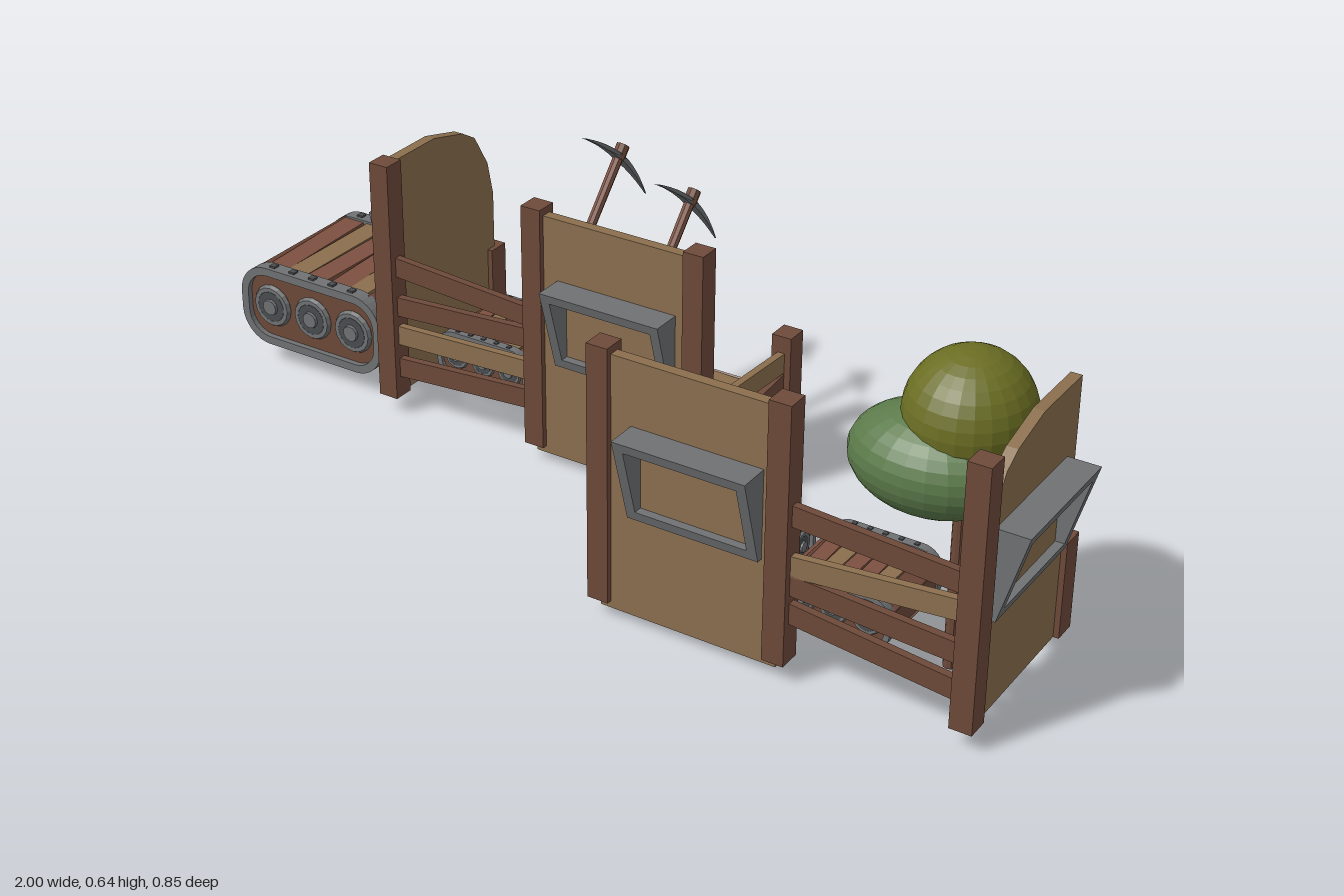
import * as THREE from 'three';

const mat = (color) => new THREE.MeshStandardMaterial({ color, flatShading: true });
const WOOD = mat(0x6e4a3a), PLANK = mat(0x7c5040), TAN = mat(0x8b6f4e), STEEL = mat(0x6f7173);
const IRON = mat(0x4a4d50), OLIVE = mat(0x6b6e23), GREEN = mat(0x5b7a4a);

function add(parent, name, geo, material, x = 0, y = 0, z = 0) {
  const m = new THREE.Mesh(geo, material);
  m.name = name;
  m.position.set(x, y, z);
  parent.add(m);
  return m;
}
const box = (p, name, material, w, h, d, x, y, z) =>
  add(p, name, new THREE.BoxGeometry(w, h, d), material, x, y, z);

// Beam whose ends sit at two points
function beam(p, name, material, a, b, h, t) {
  const A = new THREE.Vector3(...a), B = new THREE.Vector3(...b);
  const m = box(p, name, material, t, h, A.distanceTo(B), 0, 0, 0);
  m.position.copy(A).add(B).multiplyScalar(0.5);
  m.lookAt(B);
  return m;
}

function extrude(points, depth) {
  const s = new THREE.Shape(points.map(([x, y]) => new THREE.Vector2(x, y)));
  return new THREE.ExtrudeGeometry(s, { depth, bevelEnabled: false }).translate(0, 0, -depth / 2);
}

function roundRect(w, h, r, Type = THREE.Shape) {
  const s = new Type(), x = w / 2 - r, y = h / 2 - r;
  s.absarc(x, y, r, 0, Math.PI / 2);
  s.absarc(-x, y, r, Math.PI / 2, Math.PI);
  s.absarc(-x, -y, r, Math.PI, Math.PI * 1.5);
  s.absarc(x, -y, r, Math.PI * 1.5, Math.PI * 2);
  s.closePath();
  return s;
}

// Slanted window frame, facing +z, open in the middle
function hood(w) {
  const g = new THREE.Group(), y0 = 0.235, y1 = 0.415, t = 0.02;
  g.name = 'windowHood';
  const out = (y) => 0.023 + 0.052 * (y - y0) / (y1 - y0);
  const slab = (a, b) => [[0.008, a], [out(a), a], [out(b), b], [0.008, b]];
  const wall = (name, a, b, width, x) => {
    const geo = extrude(slab(a, b), width).rotateY(-Math.PI / 2);
    add(g, name, geo, STEEL, x);
  };
  wall('hoodTop', y1 - t, y1, w, 0);
  wall('hoodSill', y0, y0 + t, w, 0);
  for (const s of [-1, 1]) wall('hoodCheek', y0 + t, y1 - t, t, s * (w - t) / 2);
  return g;
}

// Plank-covered crawler track, running along x
function track(x, y, z, scale, turn) {
  const g = new THREE.Group(), L = 0.37, H = 0.18, W = 0.33, R = 0.07;
  g.name = 'track';
  const ring = roundRect(L, H, R);
  ring.holes.push(roundRect(L - 0.036, H - 0.036, R - 0.018, THREE.Path));
  const opts = (depth) => ({ depth, bevelEnabled: false, curveSegments: 4 });
  for (const s of [-1, 1]) {
    const side = new THREE.Group();
    side.name = 'trackSide';
    side.position.z = s * W / 2;
    if (s < 0) side.rotation.y = Math.PI;
    add(side, 'rim', new THREE.ExtrudeGeometry(ring, opts(0.032)), STEEL, 0, 0, -0.032);
    add(side, 'sidePlate', new THREE.ExtrudeGeometry(roundRect(L - 0.03, H - 0.03, R - 0.015), opts(0.014)), WOOD, 0, 0, -0.026);
    for (let i = -1; i <= 1; i++) {
      const wx = i * 0.108;
      add(side, 'wheelRing', new THREE.TorusGeometry(0.039, 0.009, 6, 16), STEEL, wx, 0, -0.01);
      add(side, 'wheelDisc', new THREE.CylinderGeometry(0.034, 0.034, 0.012, 16).rotateX(Math.PI / 2), IRON, wx, 0, -0.008);
      add(side, 'wheelHub', new THREE.CylinderGeometry(0.017, 0.02, 0.016, 12).rotateX(Math.PI / 2), STEEL, wx, 0, -0.004);
    }
    // Studs along the rim
    for (let i = -2; i <= 2; i++) for (const v of [-1, 1])
      box(side, 'stud', IRON, 0.014, 0.008, 0.014, i * 0.052, v * H / 2, -0.016);
    g.add(side);
  }
  // Slightly crooked planks around the loop
  for (const v of [-1, 1]) {
    for (let i = 0; i < 5; i++) {
      const m = box(g, 'plank', i % 3 === 1 ? TAN : PLANK, 0.05, 0.014, W - 0.05, (i - 2) * 0.054, v * (H / 2 - 0.012), 0);
      m.rotation.y = 0.035 * Math.sin(i * 2.3 + v);
    }
    for (const u of [-1, 1]) {
      const m = box(g, 'cornerPlank', PLANK, 0.062, 0.014, W - 0.05, u * (L / 2 - 0.028), v * (H / 2 - 0.03), 0);
      m.rotation.z = -u * v * Math.PI / 4;
    }
    box(g, 'endPlank', WOOD, 0.014, 0.07, W - 0.05, v * (L / 2 - 0.012), 0, 0);
  }
  g.position.set(x, y, z);
  g.scale.setScalar(scale);
  if (turn) g.rotation.y = Math.PI / 2;
  return g;
}

// Barricade: end = x of the rounded wall, dir = direction towards the far end
function barricade(end, dir, zFront, hoodX, roundFront) {
  const g = new THREE.Group(), half = 0.366, zBack = zFront - 0.345;
  g.name = 'barricade';
  const mid = end + dir * half, far = end + dir * 2 * half;
  for (const x of [end, mid, far]) box(g, 'tallPost', WOOD, 0.044, 0.523, 0.046, x, 0.2985, zFront);
  for (const x of [end, far]) box(g, 'shortPost', WOOD, 0.044, 0.199, 0.048, x, 0.1365, zBack);
  box(g, 'frontPanel', TAN, half, 0.523, 0.022, (mid + far) / 2, 0.2835, zFront);

  // Wall with one rounded upper corner
  const profile = [[0, 0.037], [0.345, 0.037], [0.345, 0.36], [0.328, 0.435], [0.285, 0.508], [0.245, 0.532], [0.148, 0.557], [0, 0.557]];
  const wall = add(g, 'sideWall', extrude(profile, 0.022), TAN, end, 0, roundFront ? zBack : zFront);
  wall.rotation.y = roundFront ? -Math.PI / 2 : Math.PI / 2;

  const front = hood(0.268), side = hood(0.276);
  front.position.set(hoodX, 0, zFront);
  side.position.set(end, 0, zFront - 0.172);
  side.rotation.y = -dir * Math.PI / 2;
  g.add(front, side);

  // Crooked rails: heights at the left and right ends
  const xs = [Math.min(end, mid), Math.max(end, mid)];
  const rails = dir > 0
    ? [[0.335, 0.312, WOOD], [0.243, 0.267, WOOD], [0.178, 0.194, TAN], [0.103, 0.13, WOOD]]
    : [[0.34, 0.318, WOOD], [0.235, 0.267, TAN], [0.2, 0.178, WOOD], [0.143, 0.103, WOOD]];
  for (const [a, b, m] of rails) beam(g, 'rail', m, [xs[0], a, zFront], [xs[1], b, zFront], 0.042, 0.016);
  beam(g, 'sideRail', TAN, [far, 0.195, zFront], [far, 0.176, zBack], 0.044, 0.016);
  beam(g, 'sideRail', WOOD, [far, 0.1, zFront], [far, 0.132, zBack], 0.044, 0.016);
  return g;
}

// Pickaxe leaning back; local y runs along the handle
function pickaxe(x, y, z) {
  const g = new THREE.Group();
  g.name = 'pickaxe';
  add(g, 'handle', new THREE.CylinderGeometry(0.011, 0.009, 0.43, 8), PLANK, 0, 0.215, 0);
  add(g, 'handleCap', new THREE.CylinderGeometry(0.014, 0.014, 0.03, 8), WOOD, 0, 0.415, 0);
  const s = new THREE.Shape();
  s.moveTo(-0.154, 0.383);
  s.quadraticCurveTo(0, 0.437, 0.154, 0.383);
  s.quadraticCurveTo(0, 0.416, -0.154, 0.383);
  const geo = new THREE.ExtrudeGeometry(s, { depth: 1, bevelEnabled: false, curveSegments: 12 });
  // Narrow the head towards its points
  const p = geo.attributes.position;
  for (let i = 0; i < p.count; i++)
    p.setZ(i, (p.getZ(i) - 0.5) * (0.024 - 0.13 * Math.abs(p.getX(i))));
  geo.rotateY(Math.PI / 2);
  geo.computeVertexNormals();
  add(g, 'pickHead', geo, STEEL);
  g.position.set(x, y, z);
  g.rotation.x = -0.735;
  return g;
}

export function createModel() {
  const model = new THREE.Group();
  model.name = 'trenchDefences';
  model.add(barricade(-0.59, 1, -0.043, -0.036, false));
  model.add(barricade(0.922, -1, 0.351, 0.388, true));

  // One large track outside, smaller ones behind the barricades
  model.add(track(-0.815, 0.137, -0.215, 1, false));
  for (const [x, z, turn] of [[-0.437, -0.24, 0], [-0.208, -0.24, 0], [0.008, -0.217, 1], [0.362, 0.17, 1], [0.608, 0.153, 0]])
    model.add(track(x, 0.102, z, 0.615, turn));

  model.add(pickaxe(-0.22, 0.255, -0.052));
  model.add(pickaxe(-0.036, 0.213, -0.026));

  // Tree
  const tree = new THREE.Group();
  tree.name = 'tree';
  add(tree, 'trunk', new THREE.CylinderGeometry(0.013, 0.013, 0.45, 10), WOOD, 0.797, 0.225, 0.16);
  const crown = (m, r, x, y, z) =>
    add(tree, 'foliage', new THREE.SphereGeometry(1, 24, 16), m, x, y, z).scale.set(...r);
  crown(OLIVE, [0.117, 0.117, 0.122], 0.792, 0.507, 0.14);
  crown(OLIVE, [0.118, 0.1, 0.122], 0.762, 0.445, 0.072);
  crown(GREEN, [0.157, 0.098, 0.12], 0.75, 0.422, 0.18);
  model.add(tree);
  return model;
}
